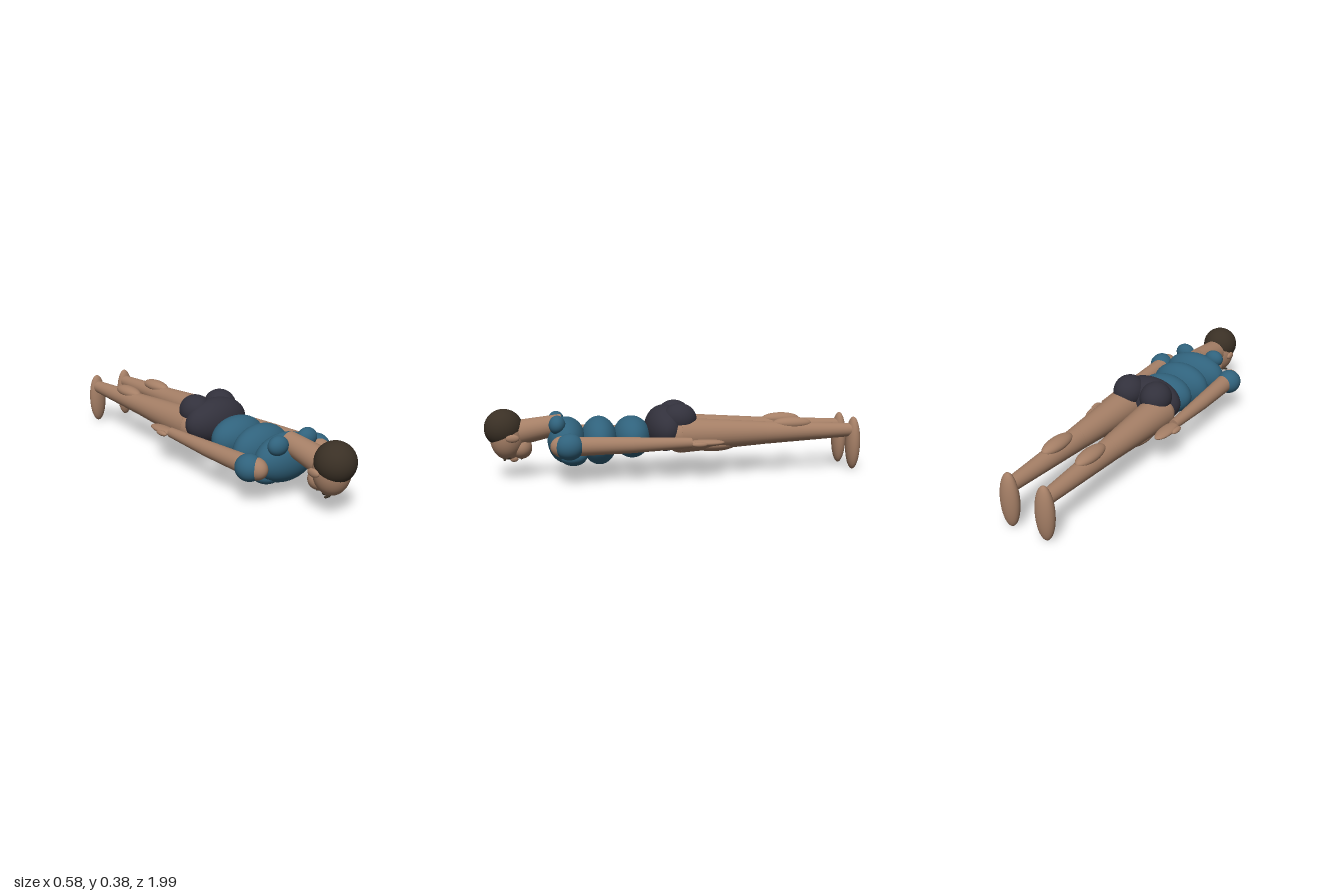
import * as THREE from 'three';

const mat = (name, color) => new THREE.MeshStandardMaterial({ name, color });

export function createModel() {
  const skin = mat('skin', 0xa57f66);
  const shirt = mat('shirt teal', 0x30627c);
  const shorts = mat('shorts charcoal', 0x32313c);
  const hair = mat('hair brown', 0x3a3025);
  const model = new THREE.Group();
  model.name = 'proneFigure';

  // Ellipsoid from centre and radii
  const blob = (name, material, center, radii) => {
    const mesh = new THREE.Mesh(new THREE.SphereGeometry(1, 40, 28), material);
    mesh.name = name;
    mesh.position.set(...center);
    mesh.scale.set(...radii);
    model.add(mesh);
    return mesh;
  };

  // Tapered limb between two points
  const limb = (name, material, from, to, r0, r1) => {
    const a = new THREE.Vector3(...from), b = new THREE.Vector3(...to);
    const dir = b.clone().sub(a);
    const mesh = new THREE.Mesh(new THREE.CylinderGeometry(r1, r0, dir.length(), 32), material);
    mesh.name = name;
    mesh.position.copy(a).add(b).multiplyScalar(0.5);
    mesh.quaternion.setFromUnitVectors(new THREE.Vector3(0, 1, 0), dir.normalize());
    model.add(mesh);
    return mesh;
  };

  // Torso, face down with the head towards +z
  blob('chest', shirt, [0, 0.19, 0.58], [0.18, 0.12, 0.098]);
  blob('ribs', shirt, [0, 0.184, 0.412], [0.167, 0.126, 0.095]);
  blob('waist', shirt, [0, 0.198, 0.24], [0.155, 0.11, 0.098]);
  blob('pelvis', shorts, [0, 0.24, 0.065], [0.185, 0.122, 0.105]);

  // Head and neck
  limb('neck', skin, [0, 0.275, 0.6], [0, 0.235, 0.82], 0.052, 0.066);
  blob('head', skin, [0, 0.215, 0.88], [0.09, 0.118, 0.089]);
  blob('jaw', skin, [0, 0.155, 0.81], [0.062, 0.056, 0.053]);
  blob('hairCap', hair, [0, 0.26, 0.898], [0.098, 0.098, 0.098]);
  blob('nose', skin, [0, 0.099, 0.85], [0.013, 0.017, 0.022]);
  blob('mouth', hair, [0, 0.1, 0.812], [0.022, 0.004, 0.006]);

  for (const s of [1, -1]) {
    const side = s > 0 ? 'left' : 'right';

    // Face details
    blob(side + 'Ear', skin, [s * 0.093, 0.218, 0.853], [0.013, 0.02, 0.034]);
    blob(side + 'Eye', hair, [s * 0.037, 0.112, 0.875], [0.012, 0.008, 0.009]);
    blob(side + 'Brow', hair, [s * 0.038, 0.104, 0.896], [0.023, 0.007, 0.007]);

    // Upper torso and seat
    blob(side + 'ShoulderSlope', shirt, [s * 0.095, 0.282, 0.63], [0.055, 0.048, 0.042]);
    blob(side + 'Pectoral', shirt, [s * 0.088, 0.118, 0.55], [0.075, 0.049, 0.07]);
    blob(side + 'Buttock', shorts, [s * 0.082, 0.295, 0], [0.083, 0.083, 0.091]);

    // Arm
    blob(side + 'Sleeve', shirt, [s * 0.225, 0.19, 0.575], [0.066, 0.066, 0.07]);
    blob(side + 'ShoulderTip', skin, [s * 0.209, 0.19, 0.605], [0.05, 0.054, 0.064]);
    limb(side + 'UpperArm', skin, [s * 0.212, 0.19, 0.6], [s * 0.215, 0.188, 0.26], 0.05, 0.04);
    blob(side + 'Elbow', skin, [s * 0.215, 0.188, 0.26], [0.04, 0.04, 0.04]);
    limb(side + 'Forearm', skin, [s * 0.215, 0.188, 0.26], [s * 0.214, 0.19, -0.04], 0.04, 0.026);
    blob(side + 'Hand', skin, [s * 0.213, 0.187, -0.11], [0.037, 0.018, 0.102]);
    blob(side + 'Thumb', skin, [s * 0.25, 0.185, -0.075], [0.016, 0.014, 0.04]);

    // Leg
    blob(side + 'Hip', skin, [s * 0.095, 0.212, 0], [0.091, 0.09, 0.08]);
    limb(side + 'Thigh', skin, [s * 0.095, 0.212, 0], [s * 0.097, 0.213, -0.46], 0.092, 0.06);
    blob(side + 'Quad', skin, [s * 0.095, 0.163, -0.18], [0.062, 0.04, 0.13]);
    blob(side + 'Knee', skin, [s * 0.097, 0.213, -0.46], [0.06, 0.06, 0.06]);
    limb(side + 'Shin', skin, [s * 0.097, 0.213, -0.46], [s * 0.099, 0.215, -0.95], 0.06, 0.035);
    blob(side + 'Calf', skin, [s * 0.097, 0.26, -0.608], [0.043, 0.033, 0.108]);
    blob(side + 'Ankle', skin, [s * 0.099, 0.215, -0.95], [0.036, 0.036, 0.036]);
    blob(side + 'Foot', skin, [s * 0.1, 0.143, -0.958], [0.05, 0.143, 0.038]);
  }
  return model;
}
